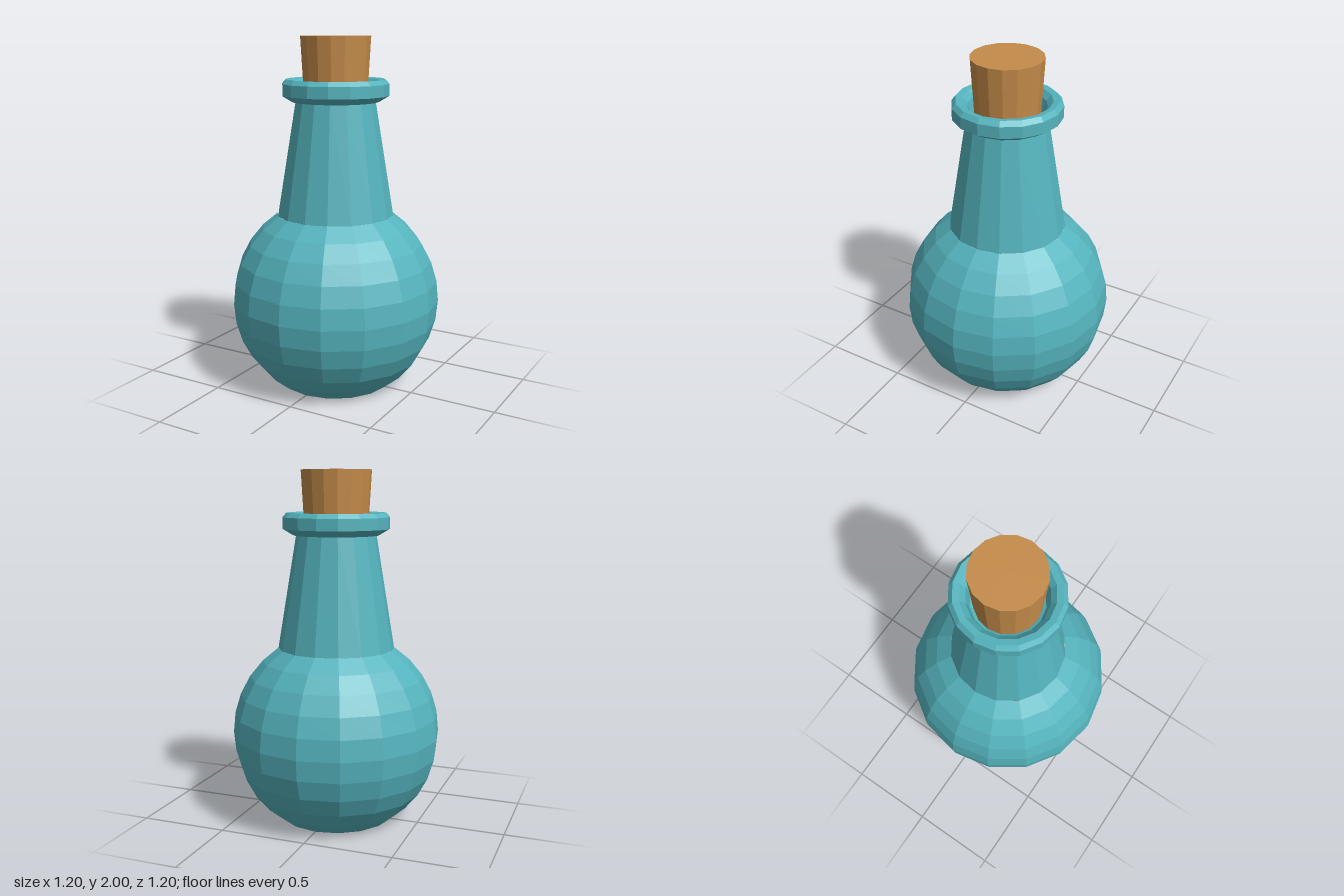
import * as THREE from 'three';

const SIDES = 16;

function lathe(name, points, material) {
  const profile = points.map(([r, y]) => new THREE.Vector2(r, y));
  const mesh = new THREE.Mesh(new THREE.LatheGeometry(profile, SIDES), material);
  mesh.name = name;
  return mesh;
}

export function createModel() {
  const glass = new THREE.MeshStandardMaterial({ color: 0x55b4be, flatShading: true });
  glass.name = 'teal glass';
  const corkMaterial = new THREE.MeshStandardMaterial({ color: 0xc48b49, flatShading: true });
  corkMaterial.name = 'cork brown';

  const group = new THREE.Group();
  group.name = 'corkedBottle';

  // Round body: a sphere cut flat at the base and open at the shoulder
  const body = [[0, 0]];
  for (let i = -5; i <= 5; i++) {
    const a = (i * Math.PI) / 16;
    body.push([0.6 * Math.cos(a), 0.499 + 0.6 * Math.sin(a)]);
  }
  group.add(lathe('body', body, glass));

  // Tapering neck
  group.add(lathe('neck', [[0.333, 0.998], [0.225, 1.65]], glass));

  // Rolled lip, running down into the mouth
  group.add(lathe('lip', [
    [0.22, 1.64], [0.245, 1.64], [0.302, 1.675], [0.302, 1.74], [0.28, 1.765],
    [0.245, 1.76], [0.215, 1.73], [0.195, 1.66], [0.16, 1.645],
  ], glass));

  // Cork, slightly narrower towards the bottom
  group.add(lathe('cork', [[0, 1.6], [0.175, 1.6], [0.198, 2], [0, 2]], corkMaterial));

  return group;
}
